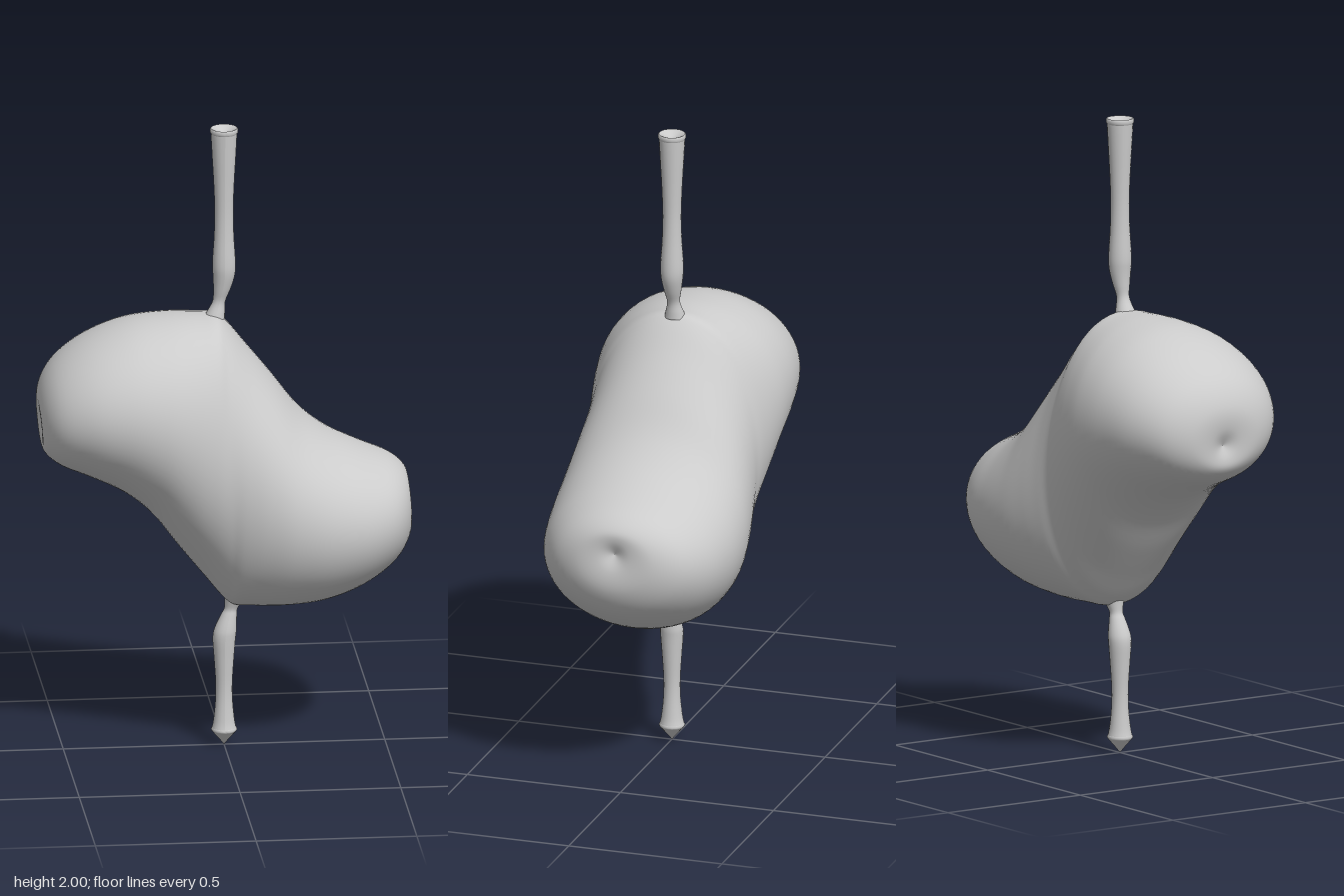
import * as THREE from 'three';

const MID_Y = 0.93;
const material = new THREE.MeshStandardMaterial({ color: 0xcccccc, side: THREE.DoubleSide });

// Half of the body: upper outline point, lower outline point, half depth.
// The other half is the same turned 180 degrees about the centre.
const HALF = [
  [-0.553, 1.055, -0.553, 1.055, 0],
  [-0.576, 1.11, -0.568, 1.01, 0.055],
  [-0.575, 1.18, -0.562, 0.975, 0.13],
  [-0.53, 1.26, -0.515, 0.935, 0.212],
  [-0.43, 1.335, -0.42, 0.895, 0.275],
  [-0.3, 1.385, -0.32, 0.845, 0.304],
  [-0.17, 1.4, -0.235, 0.775, 0.309],
  [-0.075, 1.4, -0.15, 0.665, 0.298],
  [-0.025, 1.398, -0.07, 0.565, 0.286],
];

function bodyGeometry() {
  const turned = HALF.map(([ax, ay, bx, by, w]) =>
    [-bx, 2 * MID_Y - by, -ax, 2 * MID_Y - ay, w]).reverse();
  const sections = [...HALF, [0, 1.38, 0, 0.48, 0.28], ...turned];
  const upper = new THREE.CatmullRomCurve3(sections.map(s => new THREE.Vector3(s[0], s[1], s[4])));
  const lower = new THREE.CatmullRomCurve3(sections.map(s => new THREE.Vector3(s[2], s[3], s[4])));
  const rings = 90, sides = 64, pos = [], index = [];
  for (let i = 0; i <= rings; i++) {
    const a = upper.getPoint(i / rings), b = lower.getPoint(i / rings);
    const depth = (a.z + b.z) / 2;
    for (let j = 0; j < sides; j++) {
      const t = (j / sides) * Math.PI * 2, c = Math.cos(t);
      pos.push((a.x + b.x) / 2 + c * (a.x - b.x) / 2,
        (a.y + b.y) / 2 + c * (a.y - b.y) / 2, Math.sin(t) * depth);
      if (i === rings) continue;
      const p = i * sides + j, q = i * sides + (j + 1) % sides;
      index.push(p, p + sides, q, q, p + sides, q + sides);
    }
  }
  const g = new THREE.BufferGeometry();
  g.setAttribute('position', new THREE.Float32BufferAttribute(pos, 3));
  g.setIndex(index);
  g.computeVertexNormals();
  // the built order must face outwards
  const n = g.attributes.normal, mid = 45 * sides;
  if (n.getY(mid) < 0) {
    g.setIndex(index.reverse());
    g.computeVertexNormals();
  }
  return g;
}

// Smooth turned rod from [radius, y] pairs, bent sideways near the body
function rod(name, profile, bend) {
  const curve = new THREE.SplineCurve(profile.map(([r, y]) => new THREE.Vector2(r, y)));
  return turned(name, curve.getPoints(40), bend);
}

function turned(name, points, bend = () => 0) {
  const g = new THREE.LatheGeometry(points, 20);
  const p = g.attributes.position;
  for (let i = 0; i < p.count; i++) p.setX(i, p.getX(i) + bend(p.getY(i)));
  g.computeVertexNormals();
  const mesh = new THREE.Mesh(g, material);
  mesh.name = name;
  return mesh;
}

const vec = (list) => list.map(([r, y]) => new THREE.Vector2(r, y));

export function createModel() {
  const model = new THREE.Group();
  model.name = 'peanutOnRod';

  const body = new THREE.Mesh(bodyGeometry(), material);
  body.name = 'body';
  model.add(body);

  // Upper stem with a flared foot leaning into the body
  model.add(rod('upperStem', [
    [0.034, 1.385], [0.028, 1.405], [0.02, 1.44], [0.027, 1.48], [0.035, 1.53], [0.036, 1.57],
    [0.031, 1.65], [0.029, 1.73], [0.032, 1.82], [0.037, 1.91], [0.041, 1.985],
  ], y => -0.03 * Math.max(0, (1.53 - y) / 0.14) ** 1.5));

  // Rim band and dished end
  model.add(turned('upperRim', vec([[0.041, 1.983], [0.044, 1.988], [0.044, 1.997], [0.041, 2]])));
  model.add(turned('upperDish', vec([[0.041, 2], [0.033, 1.997], [0.018, 1.988], [0, 1.984]])));

  // Lower stem, leaning the other way at its top
  model.add(rod('lowerStem', [
    [0.038, 0.055], [0.033, 0.08], [0.027, 0.14], [0.026, 0.2], [0.031, 0.28], [0.036, 0.35],
    [0.034, 0.38], [0.025, 0.42], [0.021, 0.44], [0.027, 0.462], [0.034, 0.48],
  ], y => 0.035 * Math.max(0, (y - 0.34) / 0.14) ** 1.5));

  // Pointed tip
  model.add(turned('tipBand', vec([[0.038, 0.045], [0.041, 0.05], [0.038, 0.056]])));
  model.add(turned('tip', vec([[0, 0], [0.012, 0.015], [0.038, 0.045]])));

  return model;
}
